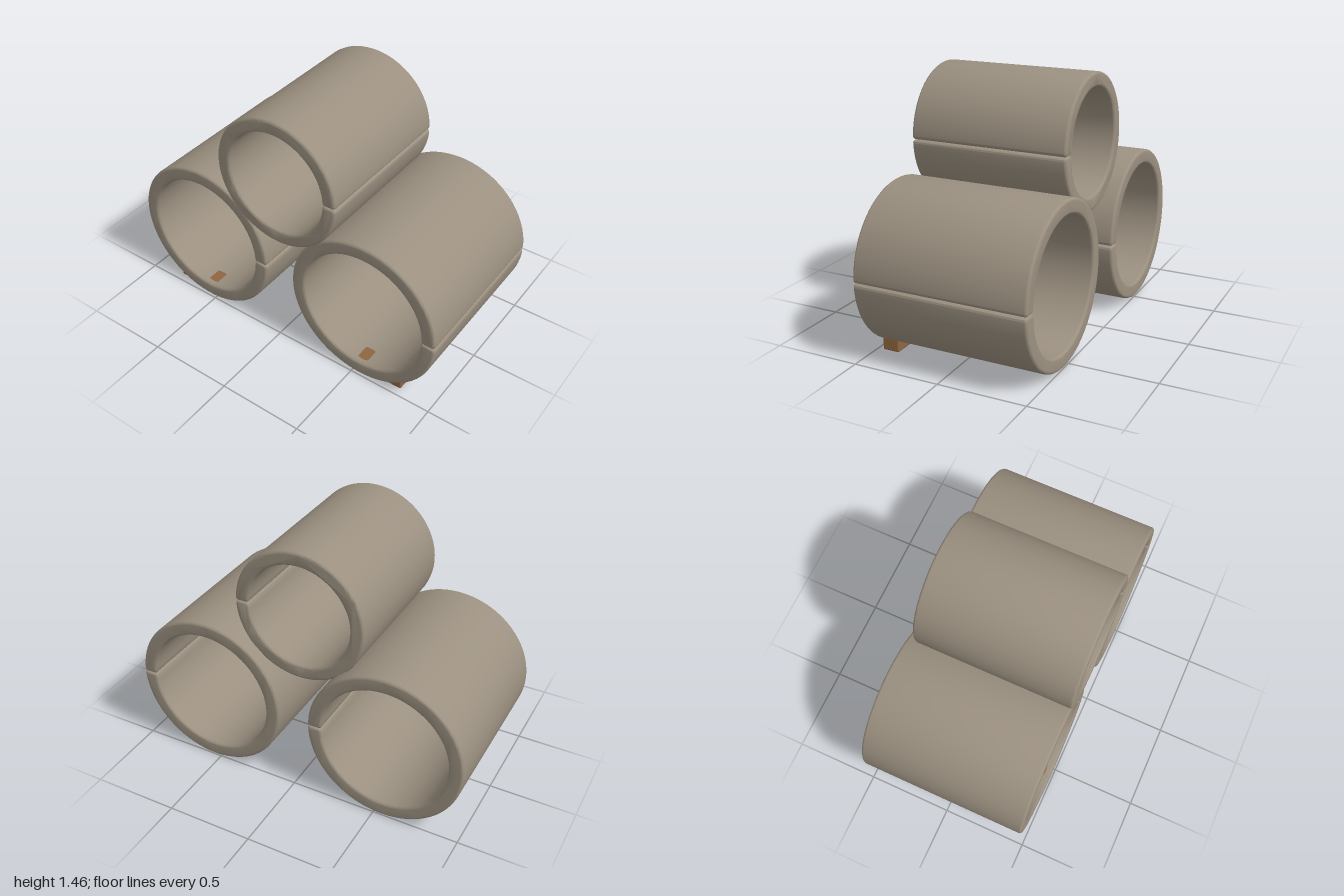
import * as THREE from 'three';
import { toCreasedNormals } from 'three/addons/utils/BufferGeometryUtils.js';
import { RoundedBoxGeometry } from 'three/addons/geometries/RoundedBoxGeometry.js';

const BEVEL = 0.015;
const HALF_GAP = 0.002;

// Thick split ring, slit on +x, with softly rounded edges, extruded from z0 to z1
function splitPipeGeometry(outer, inner, z0, z1) {
  const R = outer - BEVEL;
  const r = inner + BEVEL;
  const end = HALF_GAP + BEVEL;
  const c = 0.004; // corner softening beside the slit
  const aOut = Math.asin((end + c) / R);
  const aIn = Math.asin((end + c) / r);
  const xOut = Math.sqrt(R * R - end * end);
  const xIn = Math.sqrt(r * r - end * end);

  const shape = new THREE.Shape();
  shape.absarc(0, 0, R, aOut, Math.PI * 2 - aOut, false);
  shape.quadraticCurveTo(xOut, -end, xOut - c, -end);
  shape.lineTo(xIn + c, -end);
  shape.quadraticCurveTo(xIn, -end, r * Math.cos(aIn), -end - c);
  shape.absarc(0, 0, r, Math.PI * 2 - aIn, aIn, true);
  shape.quadraticCurveTo(xIn, end, xIn + c, end);
  shape.lineTo(xOut - c, end);
  shape.quadraticCurveTo(xOut, end, R * Math.cos(aOut), end + c);

  const geometry = new THREE.ExtrudeGeometry(shape, {
    depth: z1 - z0 - 2 * BEVEL,
    curveSegments: 48,
    bevelEnabled: true,
    bevelSize: BEVEL,
    bevelThickness: BEVEL,
    bevelSegments: 4,
  });
  geometry.translate(0, 0, z0 + BEVEL);
  return toCreasedNormals(geometry, 0.7);
}

export function createModel() {
  const model = new THREE.Group();
  model.name = 'pipeStack';

  const concrete = new THREE.MeshStandardMaterial({ color: 0x9b9080 });
  concrete.name = 'concrete';
  const wood = new THREE.MeshStandardMaterial({ color: 0x8f6540 });
  wood.name = 'wood';

  const add = (name, geometry, material, x, y, z) => {
    const mesh = new THREE.Mesh(geometry, material);
    mesh.name = name;
    mesh.position.set(x, y, z);
    model.add(mesh);
  };

  // Two large pipes on the ground, each held by a wooden chock on its outer side
  const largePipe = splitPipeGeometry(0.4545, 0.371, -0.5, 0.49);
  const chock = new RoundedBoxGeometry(0.3, 0.079, 0.1, 2, 0.01);
  for (const [side, s] of [['left', 1], ['right', -1]]) {
    add(side + 'Pipe', largePipe, concrete, s * 0.5455, 0.4545, 0);
    add(side + 'Chock', chock, wood, s * 0.65, 0.0455, 0.41);
  }

  // Smaller pipe resting between them
  add('topPipe', splitPipeGeometry(0.383, 0.3025, -0.42, 0.5), concrete, 0, 1.075, 0);

  return model;
}
